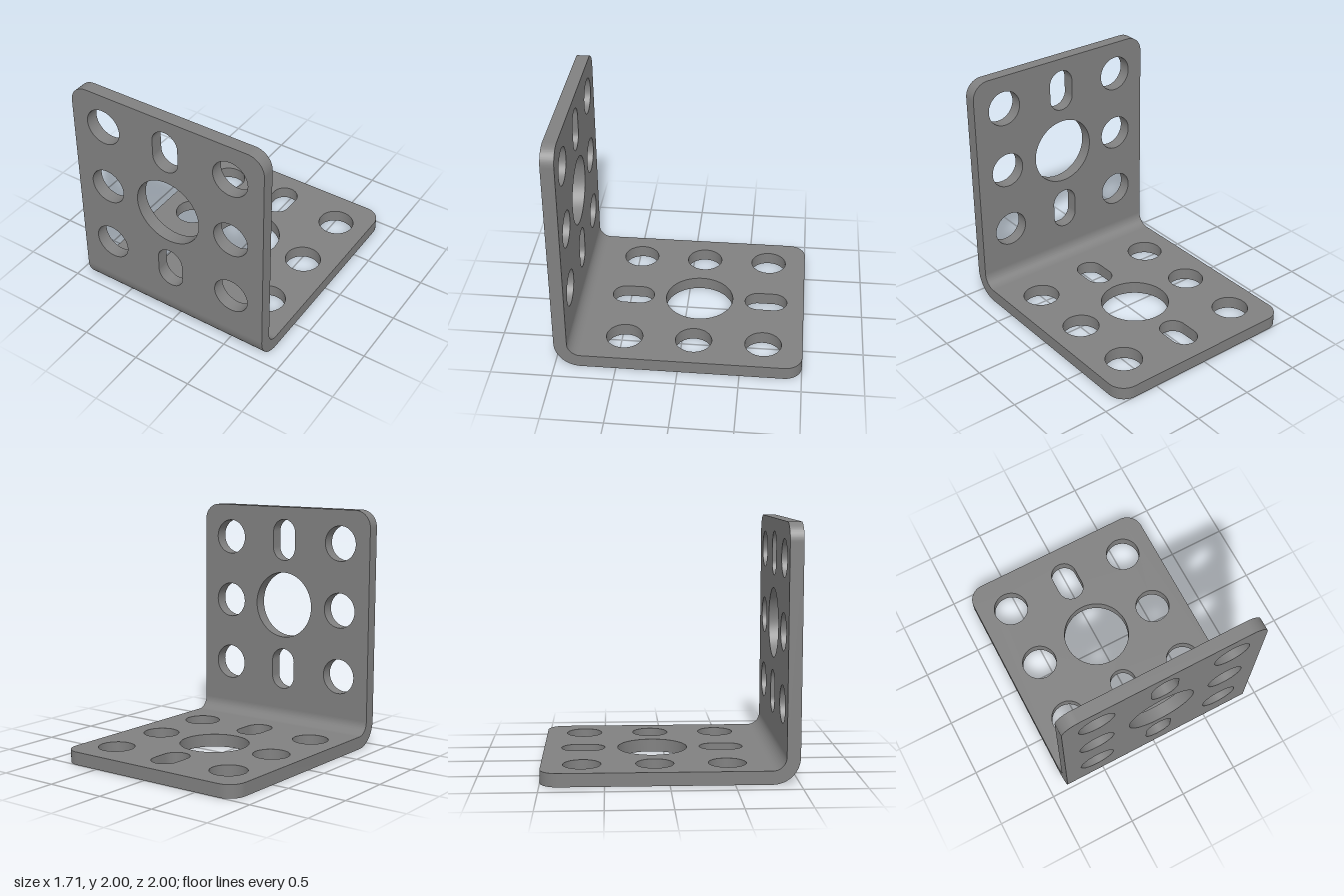
import * as THREE from 'three';
import { toCreasedNormals } from 'three/addons/utils/BufferGeometryUtils.js';

const HALF_W = 0.857;   // half the width of the sheet
const T = 0.107;        // sheet thickness
const BEND_R = 0.214;   // outer bend radius
const CORNER_R = 0.143; // rounded free corners
const PITCH = 0.571;    // hole spacing

const material = new THREE.MeshStandardMaterial({ color: 0x808080 });

function part(name, shape, depth) {
  const raw = new THREE.ExtrudeGeometry(shape, { depth, bevelEnabled: false, curveSegments: 32 });
  const mesh = new THREE.Mesh(toCreasedNormals(raw, 0.5), material);
  mesh.name = name;
  return mesh;
}

function roundHole(x, y, r) {
  return new THREE.Path().absarc(x, y, r, 0, Math.PI * 2, true);
}

function slotHole(x, y, r, halfLength) {
  const s = halfLength - r;
  const path = new THREE.Path();
  path.absarc(x, y + s, r, 0, Math.PI, false);
  path.absarc(x, y - s, r, Math.PI, Math.PI * 2, false);
  path.closePath();
  return path;
}

// Flat flange running from the bend (y = BEND_R) to its rounded free end (y = 2)
function flange(name, centreY) {
  const c = HALF_W - CORNER_R;
  const shape = new THREE.Shape();
  shape.moveTo(-HALF_W, BEND_R);
  shape.lineTo(HALF_W, BEND_R);
  shape.absarc(c, 2 - CORNER_R, CORNER_R, 0, Math.PI / 2, false);
  shape.absarc(-c, 2 - CORNER_R, CORNER_R, Math.PI / 2, Math.PI, false);
  shape.closePath();

  // Large centre hole, two slots, and two columns of round holes
  shape.holes.push(roundHole(0, centreY, 0.286));
  for (const row of [-1, 0, 1]) {
    const y = centreY + row * PITCH;
    for (const side of [-1, 1]) shape.holes.push(roundHole(side * PITCH, y, 0.15));
    if (row) shape.holes.push(slotHole(0, y, 0.113, 0.179));
  }
  return part(name, shape, T);
}

export function createModel() {
  const bracket = new THREE.Group();
  bracket.name = 'angleBracket';

  const upright = flange('uprightFlange', 1.143);
  upright.position.z = 1 - T;

  const base = flange('baseFlange', 1.107);
  base.rotation.x = -Math.PI / 2;
  base.position.z = 1;

  // Quarter-ring bend joining the two flanges
  const ring = new THREE.Shape();
  ring.absarc(1 - BEND_R, BEND_R, BEND_R, -Math.PI / 2, 0, false);
  ring.absarc(1 - BEND_R, BEND_R, BEND_R - T, 0, -Math.PI / 2, true);
  ring.closePath();
  const bend = part('bend', ring, HALF_W * 2);
  bend.rotation.y = -Math.PI / 2;
  bend.position.x = HALF_W;

  bracket.add(upright, base, bend);
  return bracket;
}
